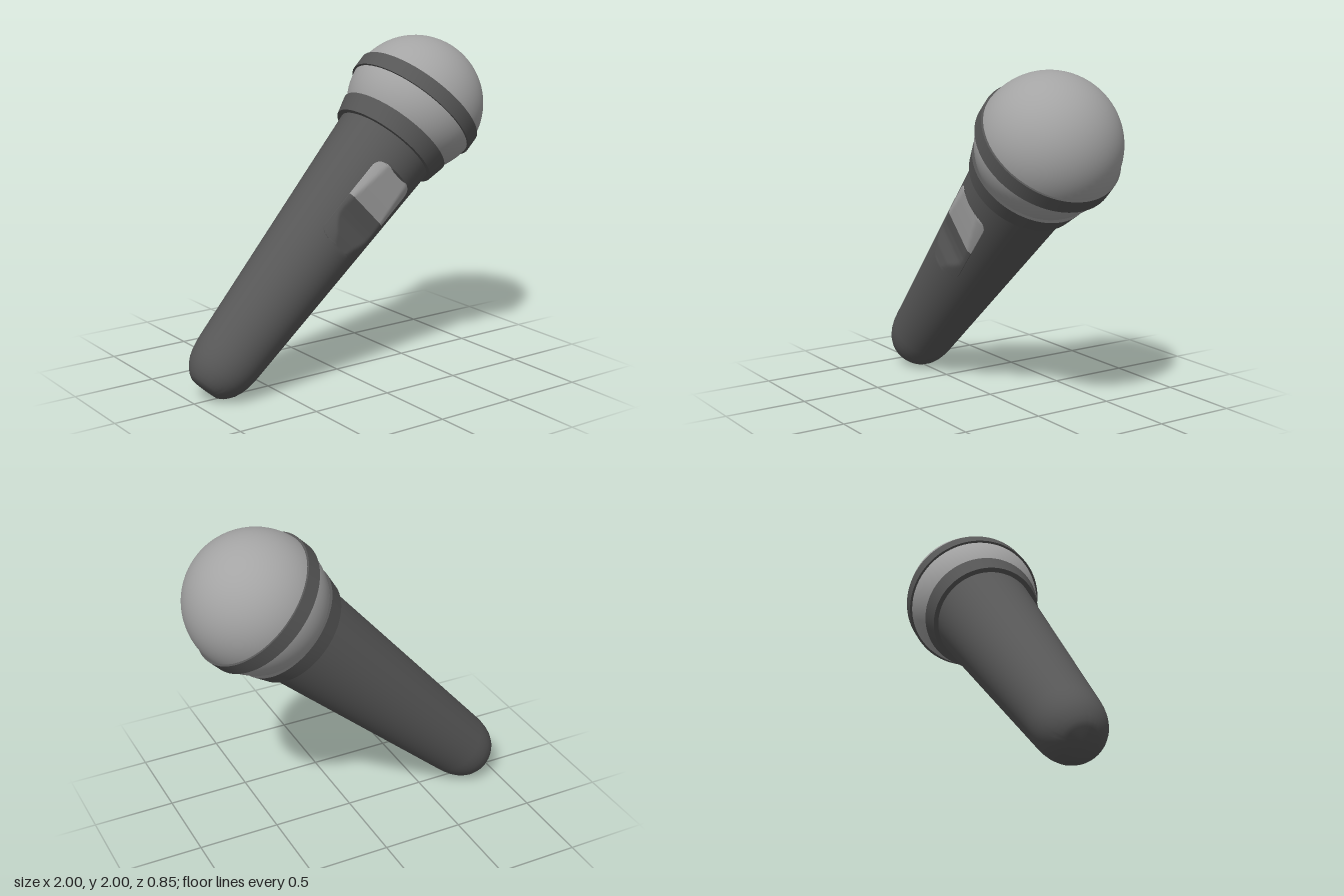
import * as THREE from 'three';
import { toCreasedNormals } from 'three/addons/utils/BufferGeometryUtils.js';

const lerp = THREE.MathUtils.lerp;
const mat = (name, color, side = THREE.FrontSide) => new THREE.MeshStandardMaterial({ name, color, side });

// Handle radius at height y along the microphone's axis
const handleRadius = (y) => lerp(0.207, 0.311, (y + 1.08) / 1.58);

// Depth of the scooped switch seat along the axis: [height, z]
const SEAT = [[-0.23, 0.262], [-0.17, 0.258], [-0.12, 0.246], [-0.08, 0.238],
  [-0.03, 0.239], [0.05, 0.25], [0.15, 0.266], [0.25, 0.28], [0.325, 0.289]];
function seatDepth(y) {
  const i = SEAT.findIndex((p, k) => k > 0 && y <= p[0]);
  const [a, b] = [SEAT[i - 1], SEAT[i]];
  return lerp(a[1], b[1], (y - a[0]) / (b[0] - a[0]));
}
const LOW = -0.23, HIGH = 0.325, HALF = 0.16, CORNER = 0.06;

// Half width of the switch outline, with rounded corners
function halfWidth(y) {
  const d = Math.max(0, CORNER - Math.min(y - LOW, HIGH - y));
  return HALF - CORNER + Math.sqrt(Math.max(0, CORNER * CORNER - d * d));
}

// Tapered body, with the front scooped out behind the switch
function handleGeometry() {
  const profile = [[0, -1.31], [0.09, -1.31], [0.118, -1.295], [0.141, -1.273], [0.163, -1.245],
    [0.182, -1.208], [0.195, -1.165], [0.203, -1.12]].map(([r, y]) => new THREE.Vector2(r, y));
  for (let i = 0; i <= 100; i++) {
    const y = lerp(-1.08, 0.5, i / 100);
    profile.push(new THREE.Vector2(handleRadius(y), y));
  }
  const geo = new THREE.LatheGeometry(profile, 96, Math.PI);
  const p = geo.attributes.position;
  for (let i = 0; i < p.count; i++) {
    const y = p.getY(i);
    if (y > LOW && y < HIGH && Math.abs(p.getX(i)) < HALF) {
      p.setZ(i, Math.min(p.getZ(i), seatDepth(y) - 0.006));
    }
  }
  return toCreasedNormals(geo, 0.6);
}

// One half of the switch: a skin that follows the handle and the scoop, with a rim
function switchGeometry(y0, y1) {
  const rows = 24, cols = 24, pos = [], idx = [];
  for (let i = 0; i <= rows; i++) {
    const y = lerp(y0, y1, i / rows), w = halfWidth(y);
    for (let j = -1; j <= cols + 1; j++) {
      const rim = j < 0 || j > cols;
      const x = lerp(-w, w, THREE.MathUtils.clamp(j / cols, 0, 1));
      const r = handleRadius(y);
      const z = Math.min(Math.sqrt(r * r - x * x) + 0.004, seatDepth(y));
      pos.push(x, y, rim ? z - 0.009 : z);
    }
  }
  const n = cols + 3;
  for (let i = 0; i < rows; i++) {
    for (let j = 0; j < n - 1; j++) {
      const a = i * n + j;
      idx.push(a, a + 1, a + n, a + 1, a + n + 1, a + n);
    }
  }
  const geo = new THREE.BufferGeometry();
  geo.setAttribute('position', new THREE.Float32BufferAttribute(pos, 3));
  geo.setIndex(idx);
  return toCreasedNormals(geo, 0.6);
}

// Closed ring from a few [radius, height] points
function ringGeometry(points) {
  const profile = [...points, points[0]].map(([r, y]) => new THREE.Vector2(r, y));
  return toCreasedNormals(new THREE.LatheGeometry(profile, 96), 0.5);
}

export function createModel() {
  const body = mat('dark grey', 0x575757);
  const mesh = mat('light grey', 0xa4a4a4);
  const darkSkin = mat('switch dark grey', 0x575757, THREE.DoubleSide);
  const lightSkin = mat('switch light grey', 0xa4a4a4, THREE.DoubleSide);

  const microphone = new THREE.Group();
  microphone.name = 'microphone';
  const add = (name, geometry, material) => {
    const part = new THREE.Mesh(geometry, material);
    part.name = name;
    microphone.add(part);
    return part;
  };

  add('handle', handleGeometry(), body);
  add('switchLower', switchGeometry(LOW, 0.052), darkSkin);
  add('switchUpper', switchGeometry(0.052, HIGH), lightSkin);

  // Flared collar between handle and head
  add('collar', ringGeometry([[0.25, 0.487], [0.339, 0.487], [0.366, 0.596], [0.25, 0.596]]), body);

  // Ball grille and the band around its middle
  add('grille', new THREE.SphereGeometry(0.414, 64, 48), mesh).position.y = 0.822;
  add('grilleBand', ringGeometry([[0.38, 0.771], [0.424, 0.771], [0.424, 0.863], [0.38, 0.863]]), body);

  // Lean the whole microphone to its left
  microphone.rotation.z = -Math.PI / 4;
  microphone.position.y = 1;

  const model = new THREE.Group();
  model.name = 'model';
  model.add(microphone);
  return model;
}
